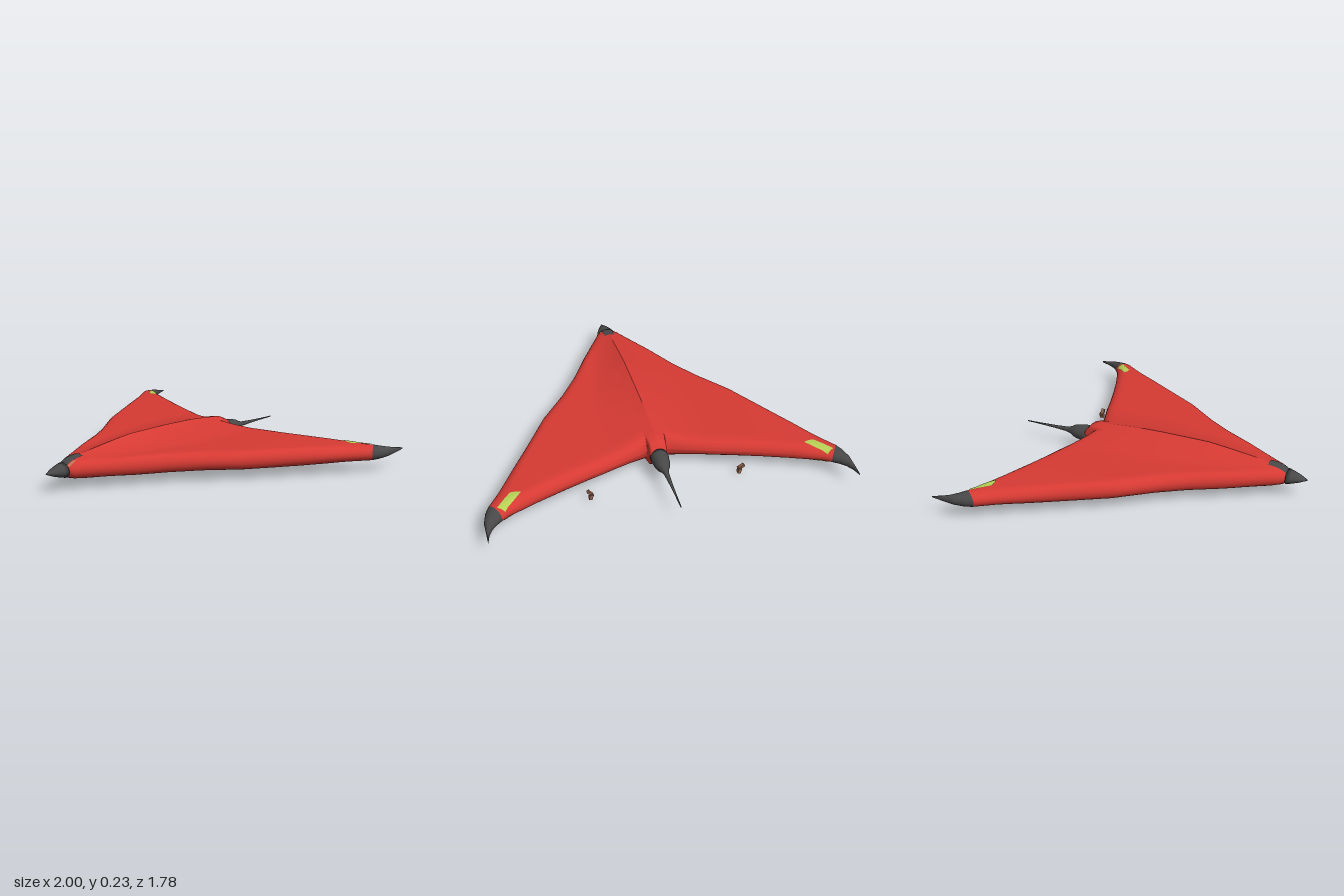
import * as THREE from 'three';

const MID = 0.118; // height of the wing plane

// Wing stations: leading edge x, z, trailing edge x, z, half thickness
const STATIONS = [
  [0, 0.8, 0, -0.48, 0.05], [0.03, 0.79, 0.045, -0.48, 0.05], [0.06, 0.755, 0.055, -0.42, 0.05],
  [0.2, 0.52, 0.2, -0.47, 0.055], [0.3, 0.34, 0.3, -0.505, 0.055], [0.4, 0.19, 0.4, -0.535, 0.055],
  [0.55, 0, 0.55, -0.585, 0.055], [0.7, -0.245, 0.7, -0.64, 0.054], [0.8, -0.4, 0.78, -0.675, 0.051],
  [0.9, -0.56, 0.86, -0.71, 0.047], [0.965, -0.65, 0.905, -0.74, 0.043], [0.985, -0.69, 0.935, -0.765, 0.036],
  [1, -0.75, 0.965, -0.8, 0.026], [1, -0.82, 0.985, -0.84, 0.015], [1, -0.89, 0.998, -0.89, 0.004],
];
// Extra half thickness along the centre ridge: z, height
const RIDGE = [[-0.55, 0.01], [-0.4, 0.038], [-0.2, 0.057], [0, 0.063], [0.3, 0.062], [0.45, 0.045], [0.6, 0.025], [0.78, 0]];

function ridgeHeight(z) {
  for (let i = 1; i < RIDGE.length; i++) {
    const [z0, h0] = RIDGE[i - 1], [z1, h1] = RIDGE[i];
    if (z <= z1) return THREE.MathUtils.lerp(h0, h1, Math.max(0, (z - z0) / (z1 - z0)));
  }
  return 0;
}

// Point on the wing skin: u = station, s = 0 leading edge to 1 trailing edge, side = 1 top, -1 bottom
function skin(u, s, side, lift = 0) {
  const i = Math.min(Math.floor(u), STATIONS.length - 2);
  const [lx, lz, tx, tz, half] = STATIONS[i].map((a, k) => THREE.MathUtils.lerp(a, STATIONS[i + 1][k], u - i));
  const x = THREE.MathUtils.lerp(lx, tx, s), z = THREE.MathUtils.lerp(lz, tz, s);
  const chord = Math.hypot(lx - tx, lz - tz);
  const round = (d, r) => Math.sqrt(Math.max(0, 1 - (1 - Math.min(1, d / r)) ** 2));
  const edge = Math.min(round(s * chord, Math.min(0.1, chord / 2)), round((1 - s) * chord, Math.min(0.06, chord / 2)));
  const width = 0.26 - 0.24 * Math.max(z, 0);
  const ridge = ridgeHeight(z) * Math.max(0, 1 - x / width) ** 1.4;
  return [x, MID + side * ((half + ridge) * edge + lift), z];
}

// Grid surface from f(u, v), mirrored in x when sx is -1
function grid(f, nu, nv, sx, flip = false) {
  const pos = [], idx = [];
  for (let i = 0; i <= nu; i++) {
    for (let j = 0; j <= nv; j++) {
      const [x, y, z] = f(i / nu, j / nv);
      pos.push(sx * x, y, z);
      if (i === nu || j === nv) continue;
      const a = i * (nv + 1) + j, b = a + nv + 1;
      if ((sx < 0) !== flip) idx.push(a, b, a + 1, b, b + 1, a + 1);
      else idx.push(a, a + 1, b, b, a + 1, b + 1);
    }
  }
  const g = new THREE.BufferGeometry();
  g.setAttribute('position', new THREE.Float32BufferAttribute(pos, 3));
  g.setIndex(idx);
  g.computeVertexNormals();
  return g;
}

// Closed wing loft between two stations
const loft = (u0, u1, sx) => grid((a, v) =>
  skin(THREE.MathUtils.lerp(u0, u1, a), 0.5 + 0.5 * Math.cos(2 * Math.PI * v), v <= 0.5 ? 1 : -1),
(u1 - u0) * 4, 56, sx);

// Thin painted patch on the skin from four (u, s) corners
function patch([A, B, C, D], side, sx) {
  const f = (a, b) => {
    const p = [0, 1].map((k) => (1 - a) * ((1 - b) * A[k] + b * B[k]) + a * ((1 - b) * D[k] + b * C[k]));
    return skin(p[0], p[1], side, 0.004);
  };
  return grid(f, 12, 12, sx, side < 0);
}

export function createModel() {
  const group = new THREE.Group();
  const mat = (name, color, side = THREE.FrontSide) => new THREE.MeshStandardMaterial({ name, color, side });
  const red = mat('red', 0xd63a33);
  const dark = mat('charcoal', 0x484848, THREE.DoubleSide);
  const lime = mat('lime', 0xb6cf55, THREE.DoubleSide);
  const brown = mat('brown', 0x96654c);
  const tan = mat('tan', 0xb9785a, THREE.DoubleSide);
  const add = (name, geo, material) => {
    const m = new THREE.Mesh(geo, material);
    m.name = name;
    group.add(m);
    return m;
  };

  for (const sx of [1, -1]) {
    const n = sx > 0 ? 'left' : 'right';
    add(n + 'Wing', loft(0, 10, sx), red);
    add(n + 'WingTip', loft(10, 14, sx), dark);
    add(n + 'NosePanel', patch([[0, 0.005], [0, 0.105], [1, 0.098], [1, 0.005]], 1, sx), dark);

    // Coloured marks near the tips, above and below
    for (const side of [1, -1]) {
      add(n + (side > 0 ? 'UpperMark' : 'LowerMark'),
        patch([[8.0, 0.8], [8.6, 0.57], [9.9, 0.62], [9.5, 0.95]], side, sx), lime);
    }

    // Small bent lug under each trailing edge
    const lug = new THREE.Group();
    lug.name = n + 'Lug';
    const arm = new THREE.Mesh(new THREE.BoxGeometry(0.042, 0.014, 0.02), brown);
    arm.name = 'lugArm';
    arm.position.y = 0.009;
    arm.rotation.z = sx > 0 ? 0.9 : -0.6;
    const foot = new THREE.Mesh(new THREE.BoxGeometry(0.018, 0.032, 0.024), brown);
    foot.name = 'lugFoot';
    foot.position.set(sx > 0 ? -0.003 : 0.01, -0.01, -0.004);
    foot.rotation.z = 0.25;
    lug.add(arm, foot);
    lug.position.set(sx > 0 ? 0.415 : -0.435, 0.042, -0.593);
    group.add(lug);
  }

  // Small spot beside the nose
  add('noseSpot', patch([[1.15, 0.008], [1.15, 0.045], [1.5, 0.045], [1.5, 0.008]], 1, 1), tan);

  // Revolved part along z, given [radius, z] points
  const revolve = (pts, dir, flat) => {
    const g = new THREE.LatheGeometry(pts.map(([r, z]) => new THREE.Vector2(r, dir * z)), 24);
    g.rotateX(dir * Math.PI / 2);
    g.scale(1, flat, 1);
    g.translate(0, MID, 0);
    return g;
  };
  add('noseCone', revolve([[0, 0.775], [0.055, 0.775], [0.047, 0.8], [0.028, 0.845], [0.01, 0.877], [0, 0.892]], 1, 0.76), dark);
  add('tailSpike', revolve([[0, -0.46], [0.049, -0.465], [0.05, -0.49], [0.043, -0.54], [0.036, -0.565], [0.022, -0.59],
    [0.014, -0.62], [0.009, -0.7], [0.005, -0.8], [0.003, -0.89], [0, -0.892]], -1, 1), dark);

  return group;
}
